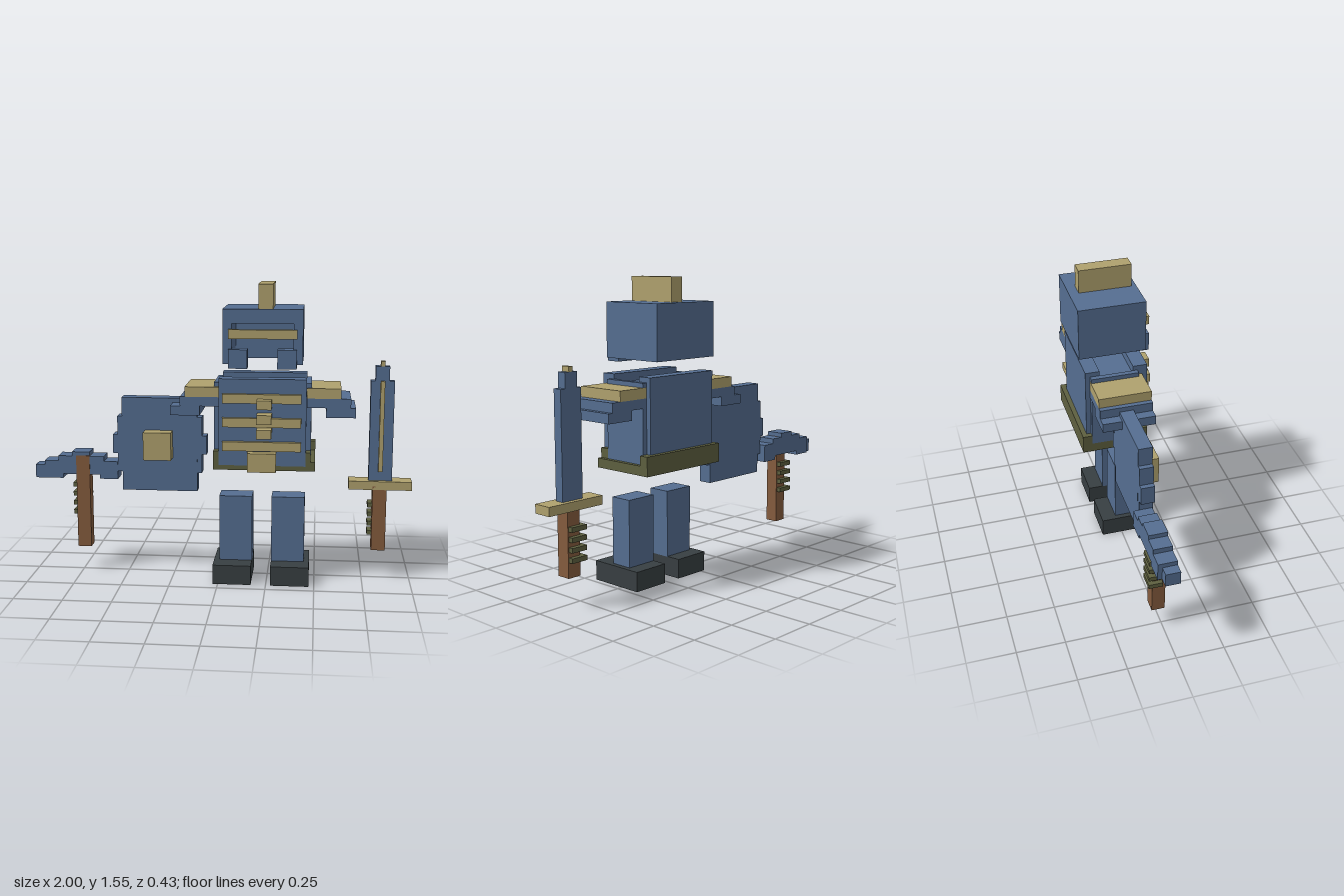
import * as THREE from 'three';

const mat = (color) => new THREE.MeshStandardMaterial({ color });

export function createModel() {
  const model = new THREE.Group();
  const blue = mat(0x556e91), gold = mat(0xb0a26e), brown = mat(0x855c3e);
  const dark = mat(0x383f42), green = mat(0x5e6040);

  const group = (name) => {
    const g = new THREE.Group();
    g.name = name;
    model.add(g);
    return g;
  };
  // Box given by its extents on each axis
  const box = (parent, name, material, [x0, x1], [y0, y1], [z0, z1]) => {
    const m = new THREE.Mesh(new THREE.BoxGeometry(x1 - x0, y1 - y0, z1 - z0), material);
    m.position.set((x0 + x1) / 2, (y0 + y1) / 2, (z0 + z1) / 2);
    m.name = name;
    parent.add(m);
  };
  const MID = 0.2225; // body centre line
  const mirror = ([a, b]) => [2 * MID - b, 2 * MID - a];

  // Helmet: open at the front and below
  const helmet = group('helmet');
  box(helmet, 'helmetTop', blue, [0.02, 0.425], [1.355, 1.427], [-0.21, 0.14]);
  box(helmet, 'helmetBack', blue, [0.067, 0.378], [1.15, 1.355], [-0.21, -0.12]);
  box(helmet, 'crest', gold, [0.198, 0.273], [1.427, 1.55], [-0.16, 0.115]);
  box(helmet, 'visorBar', gold, [0.05, 0.397], [1.28, 1.326], [0.14, 0.165]);
  for (const f of [(r) => r, mirror]) {
    box(helmet, 'helmetSide', blue, f([0.02, 0.067]), [1.15, 1.355], [-0.21, 0.14]);
    box(helmet, 'cheekGuard', blue, f([0.05, 0.147]), [1.13, 1.226], [0.09, 0.165]);
  }

  // Torso with front and back plates
  const torso = group('torso');
  box(torso, 'chestPlate', blue, [0, 0.447], [0.627, 1.075], [0.067, 0.142]);
  box(torso, 'backPlate', blue, [0, 0.447], [0.64, 1.075], [-0.185, -0.11]);
  box(torso, 'torsoCore', blue, [0, 0.447], [0.64, 1.03], [-0.11, 0.067]);
  for (const f of [(r) => r, mirror]) {
    box(torso, 'torsoSide', blue, f([-0.027, 0]), [0.65, 1.05], [-0.16, 0.09]);
  }
  for (let i = 0; i < 3; i++) {
    const y = 0.953 - i * 0.123;
    box(torso, 'rib', gold, [0.02, 0.422], [y, y + 0.047], [0.142, 0.165]);
    const s = 0.93 - i * 0.075;
    box(torso, 'stud', gold, [0.198, 0.273], [s, s + 0.047], [0.142, 0.215]);
  }

  // Belt
  const belt = group('belt');
  box(belt, 'beltBase', green, [-0.027, 0.495], [0.602, 0.65], [-0.21, 0.14]);
  box(belt, 'beltBack', green, [-0.027, 0.495], [0.65, 0.7], [-0.21, -0.16]);
  box(belt, 'buckle', gold, [0.15, 0.297], [0.602, 0.7], [0.142, 0.19]);
  for (const f of [(r) => r, mirror]) {
    box(belt, 'beltCorner', green, f([-0.027, 0]), [0.65, 0.7], [0.09, 0.14]);
  }

  // Stepped arms with shoulder pads
  const arms = group('arms');
  const armZ = [-0.162, 0.113];
  box(arms, 'rightPad', gold, [-0.177, -0.002], [0.975, 1.027], armZ);
  box(arms, 'rightUpperArm', blue, [-0.202, -0.002], [0.927, 0.975], armZ);
  box(arms, 'rightForearm', blue, [-0.252, -0.1], [0.878, 0.927], armZ);
  box(arms, 'leftPad', gold, [0.449, 0.622], [0.975, 1.027], armZ);
  box(arms, 'leftUpperArm', blue, [0.449, 0.672], [0.927, 0.975], armZ);
  box(arms, 'leftForearm', blue, [0.547, 0.697], [0.878, 0.927], armZ);

  // Legs and feet
  const legs = group('legs');
  for (const f of [(r) => r, mirror]) {
    box(legs, 'leg', blue, f([0, 0.172]), [0.1, 0.45], [-0.03, 0.09]);
    box(legs, 'foot', dark, f([-0.027, 0.172]), [0, 0.102], [-0.11, 0.19]);
  }

  // Grip with four wrapped rings
  const grip = (parent, x, y0, y1, ringTop, z1) => {
    box(parent, 'handle', brown, [x, x + 0.073], [y0, y1], [-0.06, z1]);
    for (let i = 0; i < 4; i++) {
      const y = ringTop - i * 0.05;
      box(parent, 'gripRing', green, [x - 0.023, x + 0.068], [y - 0.024, y], [-0.085, -0.012]);
    }
  };

  // Sword at the left side
  const sword = group('sword');
  const bladeZ = [-0.06, -0.012];
  box(sword, 'blade', blue, [0.775, 0.897], [0.525, 1.052], bladeZ);
  box(sword, 'bladeTip', blue, [0.798, 0.87], [1.052, 1.127], bladeZ);
  box(sword, 'bladePoint', gold, [0.824, 0.846], [1.127, 1.152], bladeZ);
  box(sword, 'fuller', gold, [0.824, 0.846], [0.577, 1.052], [-0.012, 0.013]);
  box(sword, 'crossGuard', gold, [0.672, 1], [0.48, 0.525], [-0.085, 0.013]);
  grip(sword, 0.797, 0.152, 0.5, 0.403, 0.013);

  // Round stepped shield
  const shield = group('shield');
  for (let i = 0; i < 3; i++) {
    const e = i * 0.025, h = 0.25 - i * 0.1, z = i * 0.0005;
    box(shield, 'shieldPlate', blue, [-0.525 - e, -0.125 + e], [0.7 - h, 0.7 + h], [-0.062 + z, 0.011 - z]);
  }
  box(shield, 'shieldBoss', gold, [-0.402, -0.255], [0.63, 0.777], [0.011, 0.085]);

  // Axe at the right side, with a head of stepped columns
  const axe = group('axe');
  const columns = [
    [-1, -0.95, 0.505, 0.577, -0.07], [-0.95, -0.875, 0.505, 0.6, -0.092],
    [-0.875, -0.85, 0.505, 0.627, -0.092], [-0.85, -0.8, 0.528, 0.627, -0.092],
    [-0.8, -0.705, 0.528, 0.65, -0.092], [-0.705, -0.65, 0.528, 0.627, -0.092],
    [-0.65, -0.628, 0.505, 0.627, -0.092], [-0.628, -0.553, 0.505, 0.6, -0.092],
  ];
  for (const [x0, x1, y0, y1, z0] of columns) {
    box(axe, 'axeHead', blue, [x0, x1], [y0, y1], [z0, 0.005]);
  }
  grip(axe, -0.778, 0.127, 0.63, 0.477, 0.008);
  return model;
}
